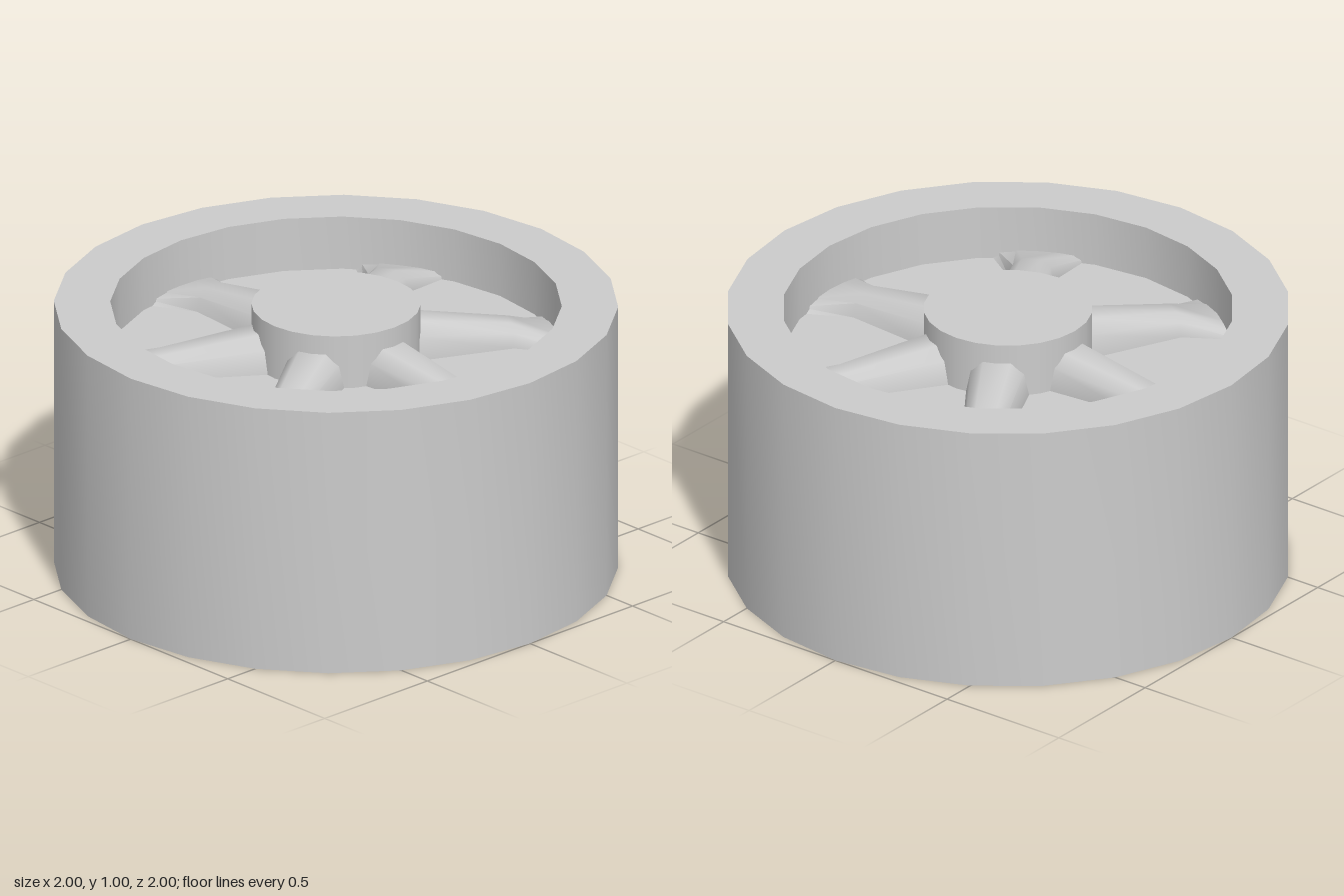
import * as THREE from 'three';
import { toCreasedNormals } from 'three/addons/utils/BufferGeometryUtils.js';

const SIDES = 24;

// Spoke along +x: rounded ridges above and below the web, narrowing, then flaring into the rim
function spokeGeometry() {
  const stations = [ // distance from axle, half width, ridge height above the web
    [0.25, 0.115, 0.135],
    [0.63, 0.08, 0.08],
    [0.82, 0.18, 0.02],
  ];
  const arch = [[1, 0], [0.85, 0.65], [0.45, 1], [-0.45, 1], [-0.85, 0.65], [-1, 0]];
  const positions = [], index = [];
  for (const [x, w, h] of stations) {
    for (const [a, b] of arch) positions.push(x, 0.3 + b * h, a * w);
    for (const [a, b] of arch) positions.push(x, -0.3 - b * h, -a * w);
  }
  const n = arch.length * 2;
  for (let k = 0; k < stations.length - 1; k++) {
    for (let i = 0; i < n; i++) {
      const j = (i + 1) % n;
      const a = k * n + i, b = a + n, c = k * n + j, d = c + n;
      index.push(a, b, c, b, d, c);
    }
  }
  const g = new THREE.BufferGeometry();
  g.setAttribute('position', new THREE.Float32BufferAttribute(positions, 3));
  g.setIndex(index);
  return toCreasedNormals(g, 1.0);
}

export function createModel() {
  const group = new THREE.Group();
  const material = new THREE.MeshStandardMaterial({ color: 0xcccccc });
  const add = (name, geometry) => {
    const mesh = new THREE.Mesh(geometry, material);
    mesh.name = name;
    mesh.position.y = 0.5;
    group.add(mesh);
    return mesh;
  };

  // Thick outer rim
  const profile = [[0.8, -0.5], [1, -0.5], [1, 0.5], [0.8, 0.5], [0.8, -0.5]]
    .map(([r, y]) => new THREE.Vector2(r, y));
  add('rim', toCreasedNormals(new THREE.LatheGeometry(profile, SIDES), 0.6));

  // Solid web recessed on both sides, and the hub flush with the rim
  add('web', new THREE.CylinderGeometry(0.8, 0.8, 0.6, SIDES));
  add('hub', new THREE.CylinderGeometry(0.3, 0.3, 1, SIDES));

  // Six spokes
  const spoke = spokeGeometry();
  for (let i = 0; i < 6; i++) {
    add('spoke', spoke).rotation.y = Math.PI / 6 + i * Math.PI / 3;
  }
  return group;
}
